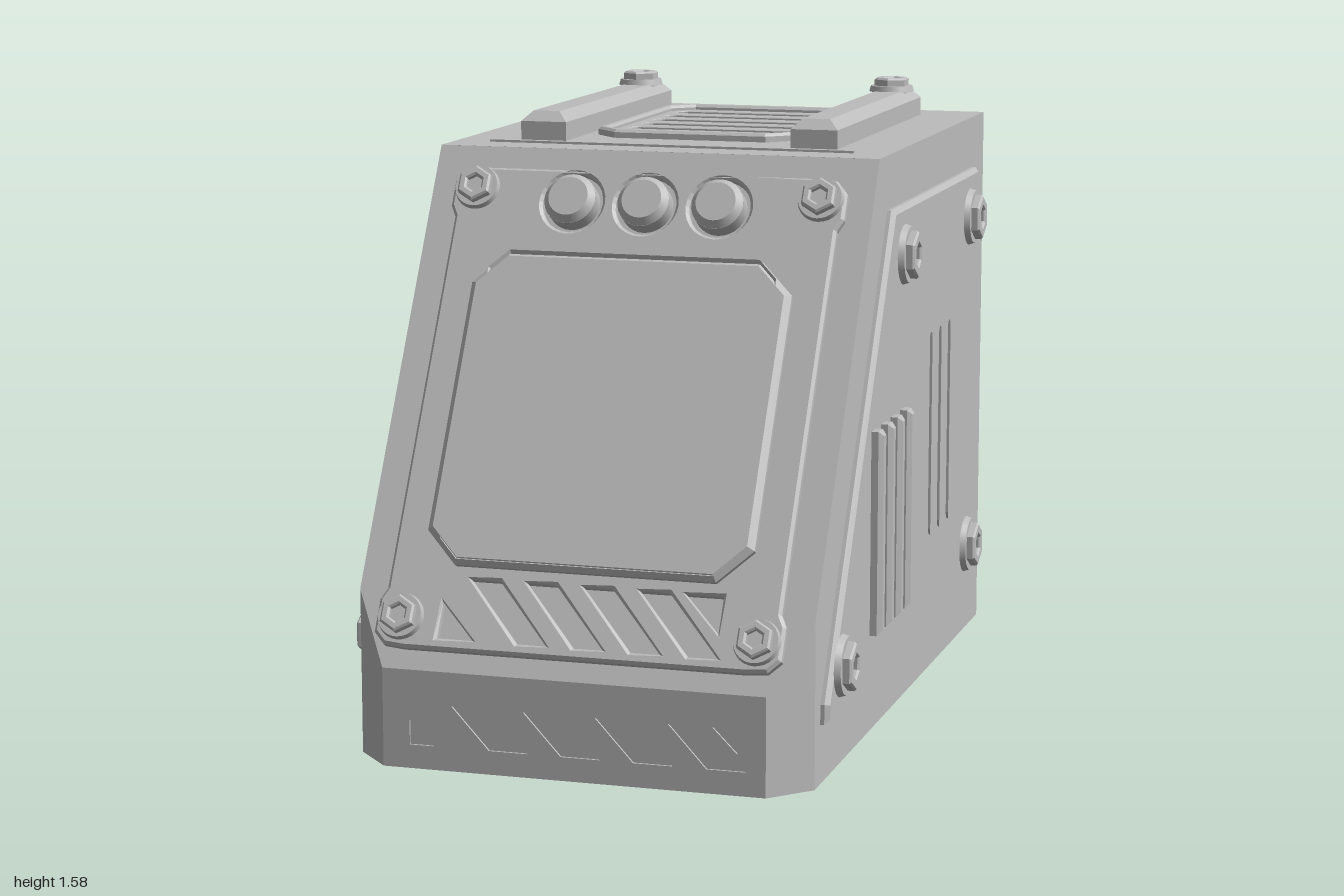
import * as THREE from 'three';
import { toCreasedNormals } from 'three/addons/utils/BufferGeometryUtils.js';

export function createModel() {
  const grey = new THREE.MeshStandardMaterial({ color: 0xbcbcbc });
  const greySheet = new THREE.MeshStandardMaterial({ color: 0xbcbcbc, side: THREE.DoubleSide });
  greySheet.name = 'grey sheet';
  grey.name = 'grey casing';
  const model = new THREE.Group();
  model.name = 'consoleCasing';

  const add = (parent, name, geo, x = 0, y = 0, z = 0, mat = grey) => {
    const m = new THREE.Mesh(geo, mat);
    m.name = name;
    m.position.set(x, y, z);
    parent.add(m);
    return m;
  };
  const group = (name, parent, x, y, z, rx = 0, ry = 0) => {
    const g = new THREE.Group();
    g.name = name;
    g.position.set(x, y, z);
    g.rotation.set(rx, ry, 0);
    parent.add(g);
    return g;
  };
  // Outline helpers
  const pts = a => a.map(p => new THREE.Vector2(p[0], p[1]));
  const shape = (outline, holes = []) => {
    const s = new THREE.Shape(pts(outline));
    s.holes = holes.map(h => new THREE.Path(pts(h)));
    return s;
  };
  const octagon = (hw, y0, y1, c) => [[-hw + c, y0], [hw - c, y0], [hw, y0 + c], [hw, y1 - c],
    [hw - c, y1], [-hw + c, y1], [-hw, y1 - c], [-hw, y0 + c]];
  const rect = (hw, hh) => [[-hw, -hh], [hw, -hh], [hw, hh], [-hw, hh]];
  const ring = (r, n, cx = 0, cy = 0, turn = 0) => Array.from({ length: n }, (_, i) => {
    const a = turn + i / n * Math.PI * 2;
    return [cx + r * Math.cos(a), cy + r * Math.sin(a)];
  });
  const slot = (cx, cy, hw, hh) => {
    const r = Math.min(hw, hh);
    return ring(r, 20, 0, 0, Math.PI / 20).map(([x, y]) =>
      [cx + x + Math.sign(x) * (hw - r), cy + y + Math.sign(y) * (hh - r)]);
  };
  // Slab lying behind z = 0
  const slab = (s, t) => new THREE.ExtrudeGeometry(s, { depth: t, bevelEnabled: false }).translate(0, 0, -t);
  // Bevelled plate rising to height h, its foot sunk below z = 0
  const plate = (s, h, b) => new THREE.ExtrudeGeometry(s, {
    depth: h, bevelThickness: b, bevelSize: b, bevelOffset: -b, bevelSegments: 1,
  }).translate(0, 0, -b);
  // Hex bolt on a washer, pointing along +z
  const bolt = (parent, x, y, z = 0, r = 0.078) => {
    const g = group('bolt', parent, x, y, z);
    add(g, 'washer', new THREE.CylinderGeometry(r * 0.93, r, 0.016, 28).rotateX(Math.PI / 2), 0, 0, 0.008);
    const nut = shape(ring(r * 0.8, 6, 0, 0, 0.52), [ring(r * 0.38, 6, 0, 0, 0.52)]);
    add(g, 'hexHead', plate(nut, 0.038, 0.005));
    add(g, 'socketFloor', new THREE.CircleGeometry(r * 0.45, 6), 0, 0, 0.022);
  };
  // Slanted hazard stripes with a corner triangle at each end
  const stripes = (L, y0, y1, start, step, w, n) => {
    const sh = y1 - y0, k = sh * 0.6, out = [];
    for (let i = 0; i < n; i++) {
      const t = start + i * step;
      out.push([[t, y1], [t + w, y1], [t + w + sh * 0.92, y0], [t + sh * 0.92, y0]]);
    }
    out.push([[-L, y0], [-L + k, y0], [-L, y0 + k]], [[L, y1], [L - k, y1], [L, y1 - k]]);
    return out;
  };

  const W = 0.585, H = 1.465, T = 0.04, BACK = -0.96;

  // Side walls with vent slots, raised panel, ribs and bolts
  for (const s of [1, -1]) {
    const side = group(s > 0 ? 'leftSide' : 'rightSide', model, s * W, 0, 0, 0, s * Math.PI / 2);
    const flip = a => a.map(([z, y]) => [-s * z, y]);
    const vents = [-0.222, -0.333, -0.444, -0.555].map(z => flip(slot(z, 0.665, 0.028, 0.295)));
    add(side, 'sideWall', slab(shape(flip([[0.9, 0], [0.9, 0.42], [0.29, H], [BACK, H], [BACK, 0]]), vents), T));
    add(side, 'sidePanel', plate(shape(flip([[0.85, 0.15], [0.85, 0.2], [0.205, 1.325], [-0.81, 1.325],
      [-0.81, 0.15]]), vents), 0.022, 0.012));
    for (const z of [0.42, 0.317, 0.214, 0.11])
      add(side, 'sideRib', plate(shape(rect(0.023, 0.262)), 0.052, 0.012), -s * z, 0.537);
    for (const [z, y] of [[0.73, 0.27], [-0.69, 0.27], [-0.69, 1.2], [0.1, 1.2]])
      bolt(side, -s * z, y, 0.022);

    // Chamfered front corner
    const P = [[0.49, 0, 1], [W, 0, 0.9], [W, 0.42, 0.9], [0.49, 0.25, 1]].map(p => [p[0] * s, p[1], p[2]]);
    const corner = new THREE.BufferGeometry();
    const order = s > 0 ? [0, 1, 2, 0, 2, 3] : [0, 2, 1, 0, 3, 2];
    corner.setAttribute('position', new THREE.Float32BufferAttribute(order.flatMap(i => P[i]), 3));
    corner.computeVertexNormals();
    add(model, 'frontCorner', corner, 0, 0, 0, greySheet);
  }

  // Roof with vent slots, vent bezel, rails and seam
  const roof = group('roof', model, 0, H, 0, -Math.PI / 2);
  const roofVents = [0, 1, 2, 3, 4, 5].map(i => slot(0, 0.085 + i * 0.11, 0.226, 0.028));
  add(roof, 'roofWall', slab(shape([[-W, -0.29], [W, -0.29], [W, -BACK], [-W, -BACK]], roofVents), T));
  add(roof, 'roofVentBezel', plate(shape(octagon(0.272, 0, 0.735, 0.065),
    [octagon(0.248, 0.024, 0.711, 0.055)]), 0.022, 0.007));
  add(roof, 'roofVentGrille', plate(shape(octagon(0.25, 0.02, 0.715, 0.055), roofVents), 0.008, 0.002));
  add(roof, 'roofSeam', new THREE.BoxGeometry(0.98, 0.018, 0.008), 0, -0.175, 0.002);
  for (const x of [-0.367, 0.367]) {
    add(roof, 'roofRail', plate(shape(rect(0.062, 0.475)), 0.075, 0.026), x, 0.365);
    bolt(roof, x, 0.746, 0.073, 0.062);
  }

  // Back wall with cable notch, frame, ribs and bolts
  const back = group('back', model, 0, 0, BACK, 0, Math.PI);
  const notch = [[0.11, 0], [0.11, 0.045], [0.17, 0.045], [0.17, 0.235], [0.14, 0.27],
    [-0.14, 0.27], [-0.17, 0.235], [-0.17, 0.045], [-0.11, 0.045], [-0.11, 0]];
  add(back, 'backWall', slab(shape([[-W, 0], [-W, H], [W, H], [W, 0], ...notch]), T));
  add(back, 'cableFrame', plate(shape([[-0.255, 0], [-0.255, 0.31], [-0.22, 0.345], [0.22, 0.345],
    [0.255, 0.31], [0.255, 0], ...notch]), 0.028, 0.008));
  for (const x of [-0.33, 0.33])
    add(back, 'backRib', plate(shape(rect(0.025, 0.34)), 0.035, 0.014), x, 0.735);
  for (const x of [-0.44, 0.44]) for (const y of [0.165, 1.3]) bolt(back, x, y);

  // Front lower wall with engraved stripes, and inner floor ledge
  const front = group('frontLower', model, 0, 0, 1);
  const face = [[-0.49, 0], [0.49, 0], [0.49, 0.25], [-0.49, 0.25]];
  add(front, 'frontWall', slab(shape(face), 0.035), 0, 0, -0.006);
  add(front, 'frontSkin', slab(shape(face, stripes(0.42, 0.06, 0.165, -0.31, 0.185, 0.1, 4)), 0.006));
  const ledge = shape([[-0.55, -0.69], [0.55, -0.69], [0.55, -0.9], [0.47, -0.98], [-0.47, -0.98], [-0.55, -0.9]]);
  add(model, 'floorLedge', slab(ledge, 0.02).rotateX(-Math.PI / 2), 0, 0.045, 0);

  // Sloped face: local y runs up the slope, z points outward
  const slope = group('slopedFace', model, 0, 0.25, 1, -Math.atan2(0.71, 1.215));
  const opening = octagon(0.335, 0.3, 1.08, 0.02);
  add(slope, 'slopeWall', slab(shape([[-0.49, 0], [0.49, 0], [W, 0.197], [W, 1.407], [-W, 1.407], [-W, 0.197]],
    [opening]), 0.14));
  const half = [[0.44, 0.05], [0.49, 0.055], [0.52, 0.085], [0.52, 0.17], [0.505, 0.2], [0.505, 1.2],
    [0.52, 1.23], [0.52, 1.3], [0.49, 1.335], [0.44, 1.34]];
  const outline = [...half, ...half.map(([x, y]) => [-x, y]).reverse()];
  const buttonX = [-0.195, 0, 0.195];
  add(slope, 'facePlate', plate(shape(outline, [opening, ...stripes(0.355, 0.08, 0.235, -0.29, 0.145, 0.075, 4),
    ...buttonX.map(x => ring(0.08, 28, x, 1.25))]), 0.024, 0.008));
  add(slope, 'screenFrame', plate(shape(octagon(0.42, 0.265, 1.1, 0.085),
    [octagon(0.362, 0.292, 1.085, 0.04)]), 0.052, 0.016));
  for (const x of buttonX) {
    const b = group('button', slope, x, 1.25, 0, Math.PI / 2);
    add(b, 'buttonBody', new THREE.CylinderGeometry(0.068, 0.068, 0.045, 28), 0, 0.022, 0);
    add(b, 'buttonCap', new THREE.CylinderGeometry(0.052, 0.068, 0.018, 28), 0, 0.053, 0);
  }
  for (const x of [-0.455, 0.455]) for (const v of [0.127, 1.28]) bolt(slope, x, v, 0.022, 0.06);

  // Hollow screw pillars inside the casing
  const tube = toCreasedNormals(new THREE.ExtrudeGeometry(shape(ring(0.068, 24), [ring(0.032, 16)]),
    { depth: 1.42, bevelEnabled: false }).rotateX(-Math.PI / 2), 0.6);
  for (const x of [-0.46, 0.46]) for (const z of [-0.845, -0.03])
    add(model, 'screwPillar', tube, x, 0.01, z);

  return model;
}
